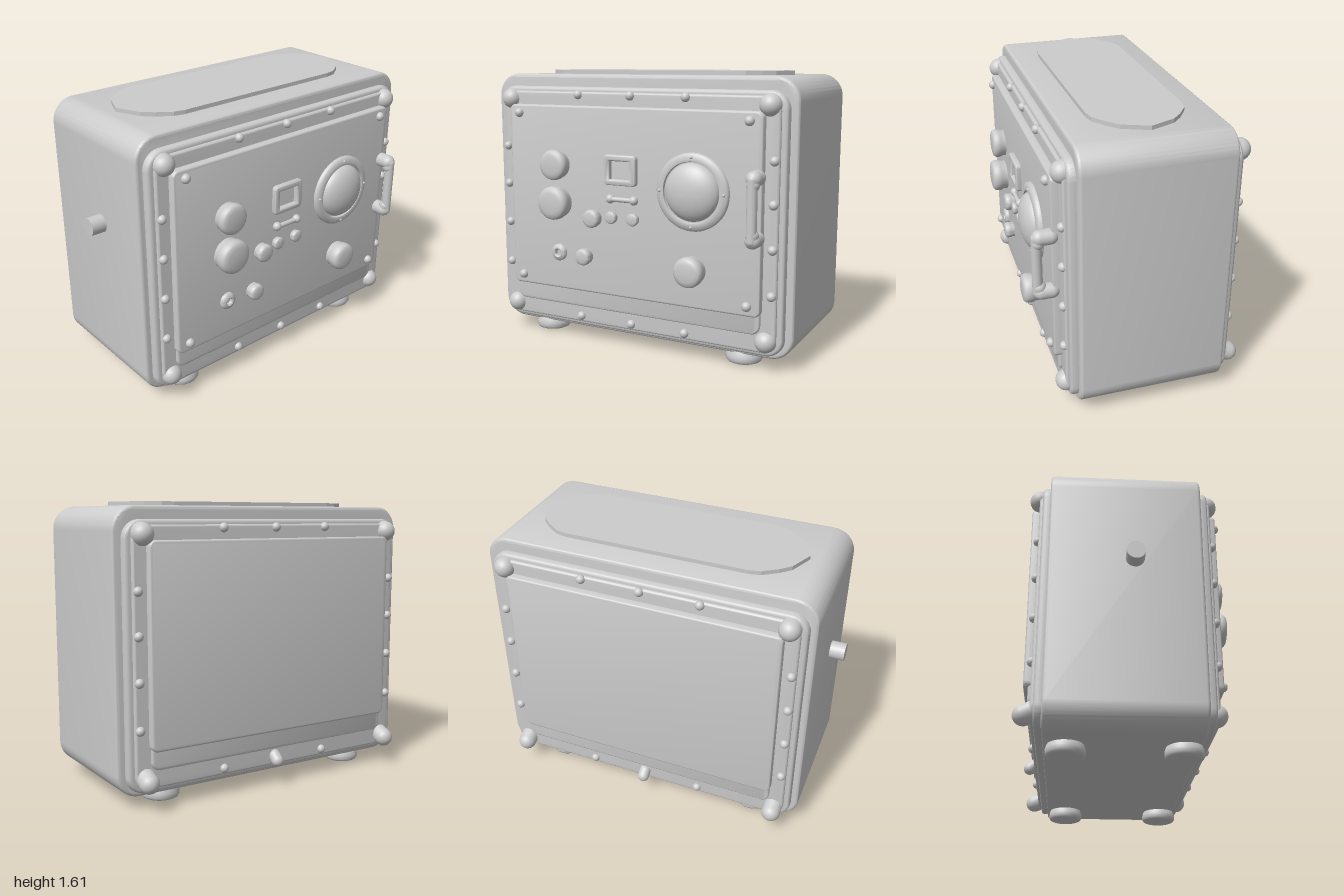
import * as THREE from 'three';
import { toCreasedNormals } from 'three/addons/utils/BufferGeometryUtils.js';

const MID = 0.04;      // x centre of the cabinet
const FRONT = 0.385;   // front and back faces of the cabinet
const BACK = -0.44;
const PANEL = 0.487;   // front surface of the control panel

export function createModel() {
  const root = new THREE.Group();
  root.name = 'controlBox';
  const mat = new THREE.MeshStandardMaterial({ color: 0xcccccc });

  const add = (parent, name, geo, x = 0, y = 0, z = 0) => {
    const m = new THREE.Mesh(geo, mat);
    m.name = name;
    m.position.set(x, y, z);
    parent.add(m);
    return m;
  };

  const roundRect = (target, x0, x1, y0, y1, r) => {
    target.moveTo(x0 + r, y0);
    target.lineTo(x1 - r, y0);
    target.absarc(x1 - r, y0 + r, r, -Math.PI / 2, 0);
    target.lineTo(x1, y1 - r);
    target.absarc(x1 - r, y1 - r, r, 0, Math.PI / 2);
    target.lineTo(x0 + r, y1);
    target.absarc(x0 + r, y1 - r, r, Math.PI / 2, Math.PI);
    target.lineTo(x0, y0 + r);
    target.absarc(x0 + r, y0 + r, r, Math.PI, Math.PI * 1.5);
    return target;
  };

  // Rounded plate from z0 to z1 with softened edges, optional hole
  const plate = (x0, x1, y0, y1, z0, z1, r, b, hole) => {
    const s = roundRect(new THREE.Shape(), x0 + b, x1 - b, y0 + b, y1 - b, r - b);
    if (hole) s.holes.push(hole);
    const g = new THREE.ExtrudeGeometry(s, {
      depth: z1 - z0 - 2 * b, bevelThickness: b, bevelSize: b, bevelSegments: 4, curveSegments: 10,
    });
    g.translate(0, 0, z0 + b);
    return toCreasedNormals(g, 0.6);
  };

  // Turned part facing +z; profile is [radius, height] pairs
  const turned = (profile, seg = 32) => {
    const g = new THREE.LatheGeometry(profile.map(([r, h]) => new THREE.Vector2(r, h)), seg);
    g.rotateX(Math.PI / 2);
    return toCreasedNormals(g, 0.7);
  };

  // Round knob with a soft edge and slightly domed cap
  const knob = (r, h) => turned([
    [r * 0.92, -0.01], [r * 0.92, h * 0.25], [r, h * 0.4], [r, h * 0.68], [r * 0.95, h * 0.82],
    [r * 0.84, h * 0.92], [r * 0.6, h * 0.97], [0, h],
  ]);

  const capsule = (parent, name, a, b, r) => {
    const p = new THREE.Vector3(...a), q = new THREE.Vector3(...b);
    const d = q.clone().sub(p);
    const m = add(parent, name, new THREE.CapsuleGeometry(r, d.length(), 8, 20));
    m.position.copy(p).lerp(q, 0.5);
    m.quaternion.setFromUnitVectors(new THREE.Vector3(0, 1, 0), d.normalize());
    return m;
  };

  // Cabinet
  add(root, 'cabinet', plate(-0.915, 1, 0.065, 1.588, BACK, FRONT, 0.13, 0.018));

  // Stepped cover with rivets and corner bumpers, used on the front and the back
  const cover = (name, back) => {
    const g = new THREE.Group();
    g.name = name;
    add(g, 'rim', plate(-0.915, 0.915, 0.09, 1.517, -0.03, 0.042, 0.1, 0.02));
    add(g, 'bezel', plate(-0.88, 0.88, 0.115, 1.49, -0.02, 0.06, 0.08, 0.012));
    add(g, 'lowerPlate', plate(-0.795, 0.795, 0.215, 1.38, 0, 0.078, 0.05, 0.012));
    add(g, 'panel', plate(-0.803, 0.803, 0.32, 1.412, 0, 0.102, 0.035, 0.012));
    const rivet = new THREE.SphereGeometry(0.026, 16, 12);
    for (const x of [-0.343, 0, 0.343])
      for (const y of [0.152, 1.473])
        if (!(back && x === 0 && y < 1)) add(g, 'rivet', rivet, x, y, 0.06);
    for (const x of [-0.853, 0.853])
      for (const y of [0.436, 0.687, 0.927, 1.157]) add(g, 'rivet', rivet, x, y, 0.06);
    for (const x of [-0.821, 0.821]) {
      capsule(g, 'upperBumper', [x, 1.447, 0.02], [x, 1.443, back ? 0.056 : 0.046], 0.06);
      if (back) capsule(g, 'rearHook', [x, 0.18, 0.045], [x, 0.16, 0.092], 0.055);
      else capsule(g, 'lowerBumper', [x, 0.177, 0.02], [x, 0.177, 0.046], 0.06);
    }
    if (back) capsule(g, 'rearLatch', [0, 0.17, 0.06], [0, 0.145, 0.09], 0.035);
    root.add(g);
    return g;
  };
  cover('frontCover', false).position.set(MID, 0, FRONT);
  const rear = cover('backCover', true);
  rear.position.set(MID, 0, BACK);
  rear.rotation.y = Math.PI;

  // Panel screws
  for (const x of [-0.69, 0.77])
    for (const y of [0.377, 1.363])
      add(root, 'panelScrew', new THREE.SphereGeometry(0.027, 16, 12), x, y, PANEL + 0.003);

  // Knobs: x, y, radius, height
  for (const [x, y, r, h] of [
    [-0.422, 1.07, 0.088, 0.08], [-0.422, 0.847, 0.098, 0.095], [0.452, 0.538, 0.085, 0.095],
    [-0.176, 0.773, 0.053, 0.06], [-0.235, 0.54, 0.049, 0.06],
    [-0.055, 0.787, 0.036, 0.035], [0.086, 0.787, 0.036, 0.035],
  ]) add(root, 'knob', knob(r, h), x, y, PANEL);

  // Socket with a recessed centre
  add(root, 'socket', turned([
    [0.05, -0.005], [0.05, 0.012], [0.042, 0.022], [0.026, 0.026], [0.02, 0.022], [0.018, 0.004], [0, 0.004],
  ]), -0.422, 0.543, PANEL);

  // Small display frame
  add(root, 'displayFrame', plate(-0.095, 0.11, 0.975, 1.147, PANEL - 0.03, PANEL + 0.03, 0.02, 0.01,
    roundRect(new THREE.Path(), -0.068, 0.083, 0.998, 1.122, 0.008)));

  // Small grab bar
  capsule(root, 'smallBar', [-0.062, 0.894, PANEL + 0.015], [0.09, 0.894, PANEL + 0.015], 0.014);
  for (const x of [-0.062, 0.09])
    add(root, 'smallBarEnd', new THREE.SphereGeometry(0.026, 20, 14), x, 0.894, PANEL + 0.01);

  // Large round dial: flange, groove and dome
  add(root, 'dialFlange', turned([
    [0.214, -0.01], [0.214, 0.014], [0.206, 0.024], [0.178, 0.032], [0.168, 0.03], [0.165, 0.015], [0, 0.015],
  ], 48), 0.452, 0.97, PANEL);
  const dome = [];
  for (let i = 0; i <= 10; i++) {
    const a = (i / 10) * Math.PI / 2;
    dome.push([0.16 * Math.cos(a), 0.01 + 0.078 * Math.sin(a)]);
  }
  add(root, 'dialDome', turned(dome, 48), 0.452, 0.97, PANEL);
  for (let i = 0; i < 4; i++) {
    const a = i * Math.PI / 2;
    add(root, 'dialScrew', new THREE.SphereGeometry(0.009, 10, 8),
      0.452 + 0.19 * Math.cos(a), 0.97 + 0.19 * Math.sin(a), PANEL + 0.028);
  }

  // Door handle
  capsule(root, 'handleBar', [0.818, 0.75, 0.562], [0.818, 1.07, 0.562], 0.028);
  for (const [y, inner] of [[0.75, 0.78], [1.072, 1.042]]) {
    capsule(root, 'handlePost', [0.818, y, PANEL], [0.818, y, 0.543], 0.043);
    capsule(root, 'handleCollar', [0.818, y, 0.545], [0.818, inner, 0.553], 0.036);
  }

  // Top plate with faceted rounded ends
  const half = [[0.79, 0], [0.732, 0.14], [0.675, 0.195], [0.595, 0.25], [0.53, 0.263]];
  const outline = [
    ...half,
    ...half.slice().reverse().map(([x, z]) => [-x, z]),
    ...half.slice(1).map(([x, z]) => [-x, -z]),
    ...half.slice(1).reverse().map(([x, z]) => [x, -z]),
  ];
  const topGeo = new THREE.ExtrudeGeometry(
    new THREE.Shape(outline.map(([x, z]) => new THREE.Vector2(x, z))), { depth: 0.04, bevelEnabled: false });
  topGeo.rotateX(-Math.PI / 2);
  add(root, 'topPlate', topGeo, MID, 1.571, -0.032);

  // Side peg
  const peg = add(root, 'sidePeg', new THREE.CylinderGeometry(0.051, 0.051, 0.12, 24), -0.94, 1.008, 0.02);
  peg.rotation.z = Math.PI / 2;

  // Feet
  const foot = turned([
    [0, 0], [0.085, 0], [0.098, 0.006], [0.105, 0.018], [0.105, 0.04], [0.098, 0.06], [0.09, 0.08],
  ]);
  foot.rotateX(-Math.PI / 2);
  for (const x of [-0.615, 0.687])
    for (const z of [0.29, -0.32]) add(root, 'foot', foot, x, 0, z);

  return root;
}
